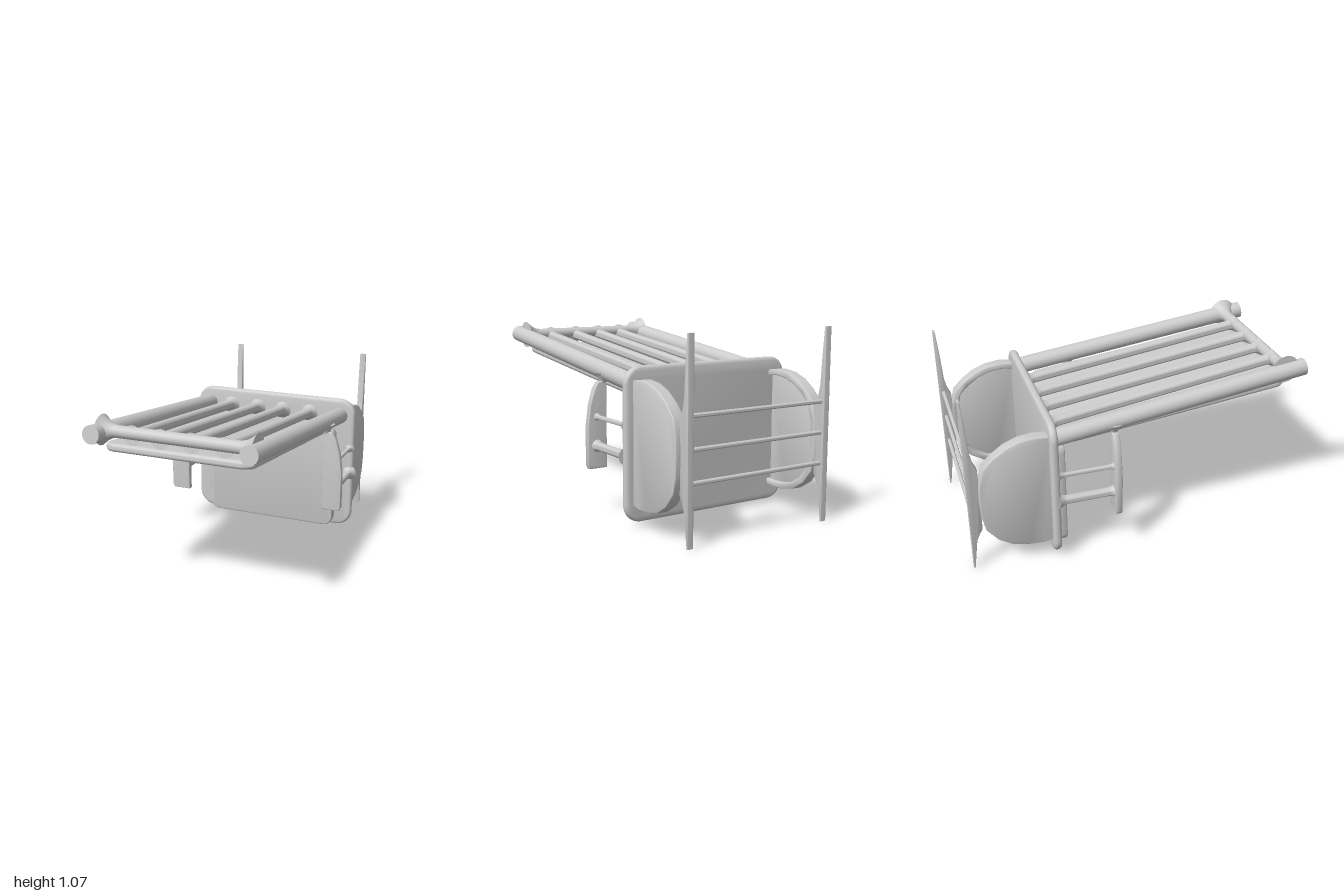
import * as THREE from 'three';
import { toCreasedNormals } from 'three/addons/utils/BufferGeometryUtils.js';

const material = new THREE.MeshStandardMaterial({ color: 0xcccccc });
const V = (x, y, z) => new THREE.Vector3(x, y, z);

function add(parent, name, geometry) {
  const mesh = new THREE.Mesh(toCreasedNormals(geometry, 0.7), material);
  mesh.name = name;
  parent.add(mesh);
  return mesh;
}

// Round bar from a to b; f0 and f1 widen its ends into soft joints.
function bar(parent, name, a, b, r, f0 = 0, f1 = 0) {
  const length = a.distanceTo(b);
  const pts = [[0, 0]];
  const steps = f0 || f1 ? 5 : 0;
  for (let i = 0; i <= steps; i++) {
    const t = steps ? i / steps : 0;
    pts.push([r + f0 * (1 - t) ** 2, t * 2 * f0]);
  }
  for (let i = 0; i <= steps; i++) {
    const t = steps ? i / steps : 0;
    pts.push([r + f1 * t * t, length - (1 - t) * 2 * f1]);
  }
  pts.push([0, length]);
  const clean = pts.filter((p, i) => !i || p[0] !== pts[i - 1][0] || p[1] !== pts[i - 1][1]);
  const g = new THREE.LatheGeometry(clean.map(p => new THREE.Vector2(...p)), 20);
  const mesh = add(parent, name, g);
  mesh.position.copy(a);
  mesh.quaternion.setFromUnitVectors(V(0, 1, 0), b.clone().sub(a).normalize());
  return mesh;
}

function roundedRect(w, h, r) {
  const s = new THREE.Shape();
  const x = w / 2, y = h / 2;
  s.absarc(x - r, y - r, r, 0, Math.PI / 2);
  s.absarc(-x + r, y - r, r, Math.PI / 2, Math.PI);
  s.absarc(-x + r, -y + r, r, Math.PI, Math.PI * 1.5);
  s.absarc(x - r, -y + r, r, Math.PI * 1.5, Math.PI * 2);
  s.closePath();
  return s;
}

// Slab centred on the origin, with its edges rounded by bevel.
function slab(shape, depth, bevel) {
  const g = new THREE.ExtrudeGeometry(shape, {
    depth: depth - 2 * bevel, bevelEnabled: bevel > 0, bevelThickness: bevel,
    bevelSize: bevel, bevelOffset: -bevel, bevelSegments: 4, curveSegments: 10,
  });
  return g.translate(0, 0, bevel - depth / 2);
}

// Profile drawn in (z, y), extruded along x and centred at x.
function sideSlab(shape, depth, x, bevel = 0.006) {
  return slab(shape, depth, bevel).rotateY(-Math.PI / 2).translate(x, 0, 0);
}

const polygon = pts => new THREE.Shape(pts.map(p => new THREE.Vector2(...p)));

// Height of the sloping deck's centre line at z
const deckY = z => 0.832 + 0.121 * z;

export function createModel() {
  const model = new THREE.Group();

  // Sloping deck: rails, crossbars and slats over a thin panel
  const deck = new THREE.Group();
  deck.name = 'deck';
  model.add(deck);
  for (const [front, back] of [[-0.43, -0.455], [0.45, 0.447]]) {
    bar(deck, 'rail', V(front, deckY(0.99), 0.99), V(back, deckY(-0.52), -0.52), 0.05);
  }
  bar(deck, 'frontCrossbar', V(-0.43, 0.95, 0.875), V(0.45, 0.95, 0.875), 0.034, 0.05, 0.05);
  for (const [front, back] of [[-0.25, -0.3], [-0.085, -0.115], [0.09, 0.06], [0.275, 0.245]]) {
    bar(deck, 'slat', V(front, deckY(0.88), 0.88), V(back, deckY(-0.51), -0.51), 0.03, 0.025, 0.035);
  }
  const panel = add(deck, 'deckPanel', slab(roundedRect(0.855, 1.35, 0.07), 0.045, 0.018));
  panel.position.set(0, 0.788, 0.225);
  panel.rotation.x = Math.PI / 2 - 0.111;

  // Upright back plate with a smaller pad on its front
  add(model, 'backPlate', slab(roundedRect(1.085, 0.845, 0.1), 0.045, 0.02))
    .position.set(0, 0.4525, -0.522);
  add(model, 'backPad', slab(roundedRect(0.865, 0.665, 0.06), 0.065, 0.012))
    .position.set(0, 0.368, -0.472);

  // D-shaped side outline, as (z, y)
  const curve = [[-0.53, 0.8], [-0.62, 0.81], [-0.7, 0.8], [-0.78, 0.77], [-0.85, 0.72],
    [-0.91, 0.66], [-0.935, 0.56], [-0.94, 0.46], [-0.935, 0.36], [-0.915, 0.27],
    [-0.85, 0.19], [-0.77, 0.14], [-0.68, 0.12], [-0.6, 0.115], [-0.53, 0.125]];
  const inner = curve.map(([z, y]) => [-0.53 + (z + 0.53) * 0.91, 0.46 + (y - 0.46) * 0.9]);
  const rim = polygon([...curve, ...inner.reverse()]);

  // Post outline, flat behind and swelling toward the side panel
  const post = polygon([[-1, 0.005], [-0.993, 0.005], [-0.98, 0.1], [-0.968, 0.19], [-0.95, 0.235],
    [-0.932, 0.265], [-0.932, 0.65], [-0.95, 0.69], [-0.965, 0.76], [-0.975, 0.92],
    [-0.988, 1.075], [-1, 1.075]]);

  // Arm board outline on the +x side, as (x, y)
  const board = [[0.452, 0.265], [0.562, 0.265], [0.572, 0.285], [0.572, 0.51],
    [0.555, 0.63], [0.53, 0.715], [0.505, 0.755], [0.452, 0.765]];

  for (const s of [-1, 1]) {
    const side = new THREE.Group();
    side.name = s > 0 ? 'leftSide' : 'rightSide';
    model.add(side);
    add(side, 'sidePanel', sideSlab(polygon(curve), 0.04, s * 0.475));
    add(side, 'sidePanelRim', sideSlab(rim, 0.06, s * 0.455));
    add(side, 'post', sideSlab(post, 0.038, s * 0.447, 0.003));

    // Upright arm board, joined to the rail and the back plate
    const pts = board.map(([x, y]) => [s * x, y]);
    add(side, 'armBoard', slab(polygon(pts), 0.037, 0.006)).position.z = -0.171;
    bar(side, 'armJoint', V(s * 0.475, 0.68, -0.171), V(s * 0.462, 0.8, -0.171), 0.017, 0, 0.035);
    bar(side, 'upperArmBar', V(s * 0.515, 0.56, -0.175), V(s * 0.515, 0.56, -0.51), 0.013, 0.02, 0.02);
    bar(side, 'lowerArmBar', V(s * 0.515, 0.395, -0.175), V(s * 0.515, 0.395, -0.51), 0.025, 0.022, 0.025);
  }

  // Thin rods between the rear posts
  for (const y of [0.33, 0.5, 0.67]) {
    bar(model, 'rearRod', V(-0.45, y, -0.975), V(0.45, y, -0.975), 0.012);
  }
  return model;
}
